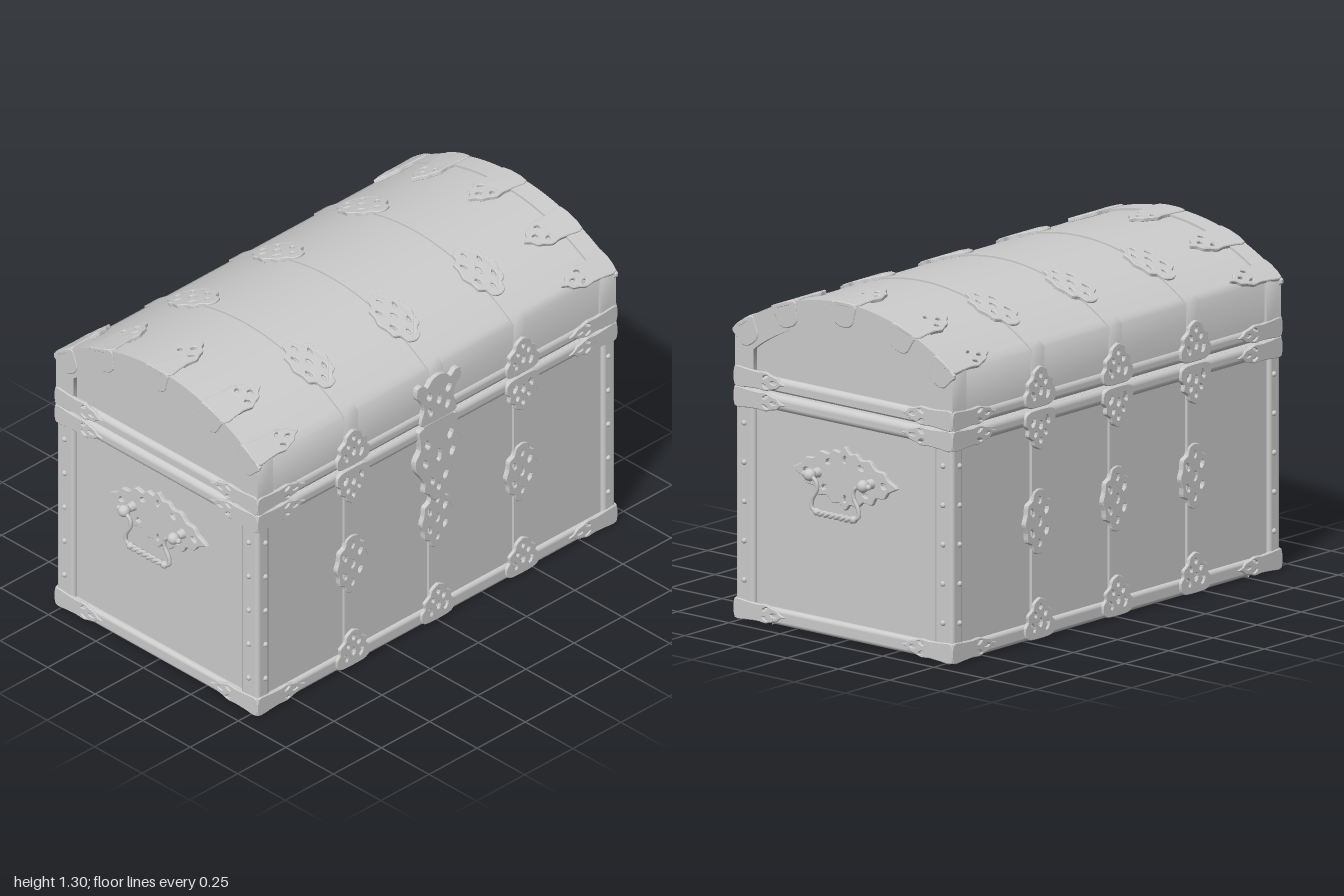
import * as THREE from 'three';
import { toCreasedNormals } from 'three/addons/utils/BufferGeometryUtils.js';
import { RoundedBoxGeometry } from 'three/addons/geometries/RoundedBoxGeometry.js';

const grey = new THREE.MeshStandardMaterial({ color: 0xcccccc });
grey.name = 'plain grey';

// Lid arc: radius, centre height
const R = 0.87, CY = 0.41;

function add(parent, name, geo, x = 0, y = 0, z = 0) {
  const m = new THREE.Mesh(geo, grey);
  m.name = name;
  m.position.set(x, y, z);
  parent.add(m);
  return m;
}

// Outline with a domed top: half width, base height, arc radius and arc centre
function domeOutline(hw, base, r, cy, Type = THREE.Shape) {
  const a = Math.asin(hw / r), pts = [new THREE.Vector2(-hw, base), new THREE.Vector2(hw, base)];
  for (let i = 0; i <= 28; i++) {
    const t = a - (2 * a * i) / 28;
    pts.push(new THREE.Vector2(Math.sin(t) * r, cy + Math.cos(t) * r));
  }
  return new Type(pts);
}

// Dome profile swept along x between x0 and x1
function domeSweep(shape, x0, x1) {
  const g = new THREE.ExtrudeGeometry(shape, { depth: x1 - x0, bevelEnabled: false });
  g.rotateY(Math.PI / 2).translate(x0, 0, 0);
  return toCreasedNormals(g, 1.0);
}

// Symmetric scrolled plate: [half width, height] points up the right side, [x, y, rx, ry] holes
function scroll(side, holes = []) {
  const left = side.filter(p => p[0] > 0).reverse().map(([x, y]) => [-x, y]);
  const curve = new THREE.CatmullRomCurve3(
    [...side, ...left].map(([x, y]) => new THREE.Vector3(x, y, 0)), true, 'catmullrom', 0.4);
  const shape = new THREE.Shape(curve.getPoints((side.length + left.length) * 3).slice(0, -1)
    .map(p => new THREE.Vector2(p.x, p.y)));
  for (const [x, y, rx, ry] of holes) {
    for (const s of x ? [-1, 1] : [1]) {
      const h = new THREE.Path();
      h.absellipse(s * x, y, rx, ry, 0, Math.PI * 2, true, -s * 0.4 * (x ? 1 : 0));
      shape.holes.push(h);
    }
  }
  return shape;
}

// Plate facing +z, turned by angle and moved; bend wraps it over the lid
function plate(parent, name, shape, depth, x, y, z, angle = 0, bend = false) {
  const b = 0.003;
  const g = new THREE.ExtrudeGeometry(shape, {
    depth: depth - b, bevelThickness: b, bevelSize: b, bevelOffset: -b, bevelSegments: 1, curveSegments: 4,
  });
  g.rotateZ(angle).translate(x, y, z);
  if (bend) {
    const p = g.attributes.position;
    for (let i = 0; i < p.count; i++) {
      const t = p.getY(i) / R, r = R + p.getZ(i);
      p.setXYZ(i, p.getX(i), CY + r * Math.cos(t), -r * Math.sin(t));
    }
    g.computeVertexNormals();
  }
  return add(parent, name, g);
}

// Ornament outlines
const leaf = scroll(
  [[0.05, 0], [0.082, 0.015], [0.085, 0.05], [0.068, 0.07], [0.07, 0.095], [0.042, 0.115], [0.034, 0.138], [0, 0.155]],
  [[0.04, 0.045, 0.009, 0.018], [0.028, 0.092, 0.007, 0.011], [0, 0.06, 0.01, 0.016], [0, 0.12, 0.007, 0.01]]);
const medallion = scroll(
  [[0, -0.125], [0.03, -0.115], [0.04, -0.085], [0.066, -0.07], [0.07, -0.035], [0.082, 0],
    [0.07, 0.035], [0.066, 0.07], [0.04, 0.085], [0.03, 0.115], [0, 0.125]],
  [[0.04, 0.04, 0.009, 0.016], [0.04, -0.04, 0.009, 0.016], [0, 0, 0.012, 0.018],
    [0, 0.082, 0.009, 0.013], [0, -0.082, 0.009, 0.013]]);
const spear = w => scroll(
  [[w, 0], [w, 0.06], [w * 0.92, 0.11], [w, 0.15], [w * 0.75, 0.18], [w * 0.6, 0.205], [w * 0.25, 0.22], [0, 0.245]],
  [[w * 0.5, 0.15, w * 0.14, 0.014], [0, 0.19, w * 0.16, 0.014]]);
const shield = scroll([[0.055, 0], [0.054, 0.04], [0.045, 0.075], [0.022, 0.09], [0, 0.092]]);
const lockShape = scroll(
  [[0.09, 0], [0.1, -0.04], [0.096, -0.09], [0.122, -0.13], [0.118, -0.175], [0.09, -0.215],
    [0.072, -0.25], [0.076, -0.285], [0.045, -0.31], [0.03, -0.335], [0, -0.345]].reverse(),
  [[0, -0.15, 0.012, 0.026], [0.06, -0.08, 0.012, 0.022], [0.07, -0.16, 0.011, 0.02],
    [0.035, -0.25, 0.01, 0.018], [0, -0.29, 0.009, 0.014]]);
const haspShape = scroll(
  [[0.08, 0], [0.092, 0.03], [0.078, 0.07], [0.09, 0.11], [0.115, 0.14], [0.112, 0.18], [0.085, 0.185],
    [0.06, 0.165], [0.035, 0.19], [0, 0.2]],
  [[0.045, 0.05, 0.01, 0.018], [0.05, 0.12, 0.012, 0.018], [0, 0.09, 0.012, 0.02]]);
const handlePlateShape = scroll(
  [[0, -0.125], [0.025, -0.1], [0.06, -0.105], [0.09, -0.08], [0.13, -0.085], [0.15, -0.055], [0.19, -0.05],
    [0.21, -0.025], [0.255, 0], [0.21, 0.025], [0.19, 0.05], [0.15, 0.055], [0.12, 0.085], [0.08, 0.08],
    [0.055, 0.1], [0.025, 0.095], [0, 0.12]],
  [[0.19, 0, 0.015, 0.01], [0.08, 0.05, 0.014, 0.009], [0.1, -0.05, 0.014, 0.009], [0, 0.07, 0.008, 0.014], [0, -0.08, 0.008, 0.014]]);

// Front or back wall fittings, built facing +z
function wallFittings(isFront) {
  const g = new THREE.Group();
  g.name = isFront ? 'frontFittings' : 'backFittings';
  for (const x of [-0.44, 0, 0.44]) {
    add(g, 'wallStrap', new THREE.BoxGeometry(0.07, 0.8, 0.014), x, 0.44, 0.519);
    plate(g, 'strapFoot', leaf, 0.012, x, 0.005, 0.527);
    plate(g, 'strapMedallion', medallion, 0.022, x, 0.45, 0.512);
    if (isFront && x === 0) {
      plate(g, 'lockPlate', lockShape, 0.022, 0, 0.882, 0.52);
      plate(g, 'lockHasp', haspShape, 0.02, 0, 0.89, 0.522);
      add(g, 'haspHinge', new THREE.CylinderGeometry(0.009, 0.009, 0.15, 10).rotateZ(Math.PI / 2), 0, 0.886, 0.534);
    } else {
      plate(g, 'rimLeaf', leaf, 0.016, x, 0.88, 0.524, Math.PI);
      plate(g, 'lidLeaf', leaf, 0.016, x, 0.89, 0.524);
    }
  }
  for (const s of [-1, 1]) {
    const turn = s * Math.PI / 2;
    plate(g, 'baseCorner', spear(0.036), 0.012, s * 0.93, 0.038, 0.524, turn);
    plate(g, 'rimCorner', spear(0.036), 0.012, s * 0.93, 0.848, 0.524, turn);
    plate(g, 'lidRimCorner', spear(0.034), 0.012, s * 0.93, 0.924, 0.524, turn);
    for (const y of [0.15, 0.3, 0.45, 0.6, 0.75])
      add(g, 'postStud', new THREE.SphereGeometry(0.011, 10, 6), s * 0.89, y, 0.53);
  }
  return g;
}

// Carrying handle, built facing +z
function handle() {
  const g = new THREE.Group();
  g.name = 'handle';
  plate(g, 'handlePlate', handlePlateShape, 0.018, 0, 0.62, 0.908);
  for (const s of [-1, 1]) {
    add(g, 'handlePost', new THREE.CylinderGeometry(0.012, 0.022, 0.06, 12).rotateX(Math.PI / 2), s * 0.13, 0.62, 0.945);
    add(g, 'handleKnob', new THREE.SphereGeometry(0.024, 14, 10), s * 0.13, 0.62, 0.972);
    add(g, 'knobTip', new THREE.SphereGeometry(0.011, 10, 8), s * 0.157, 0.62, 0.972);
    const arm = new THREE.CatmullRomCurve3([[0.11, 0.615], [0.092, 0.6], [0.09, 0.57], [0.112, 0.53], [0.114, 0.5], [0.095, 0.487]]
      .map(([x, y]) => new THREE.Vector3(s * x, y, 0.978)));
    add(g, 'handleArm', new THREE.TubeGeometry(arm, 20, 0.008, 8), 0, 0, 0);
    add(g, 'gripCollar', new THREE.SphereGeometry(0.015, 10, 8), s * 0.09, 0.487, 0.978);
    // Twisted strands of the grip
    const strand = [];
    for (let i = 0; i <= 40; i++) {
      const t = i / 40, a = t * Math.PI * 7 + (s > 0 ? Math.PI : 0);
      strand.push(new THREE.Vector3(-0.09 + 0.18 * t, 0.484 + 0.006 * Math.sin(a), 0.978 + 0.006 * Math.cos(a)));
    }
    add(g, 'gripStrand', new THREE.TubeGeometry(new THREE.CatmullRomCurve3(strand), 60, 0.008, 6));
  }
  return g;
}

// End wall fittings, built facing +z and then turned to the side
function endFittings(side) {
  const g = new THREE.Group();
  g.name = side > 0 ? 'leftEndFittings' : 'rightEndFittings';
  g.add(handle());
  for (const s of [-1, 1]) {
    const turn = s * Math.PI / 2;
    plate(g, 'baseCorner', spear(0.036), 0.012, s * 0.53, 0.038, 0.924, turn);
    plate(g, 'rimCorner', spear(0.036), 0.012, s * 0.53, 0.848, 0.924, turn);
    plate(g, 'lidRimCorner', spear(0.036), 0.012, s * 0.53, 0.926, 0.924, turn);
    for (const y of [0.15, 0.3, 0.45, 0.6, 0.75])
      add(g, 'postStud', new THREE.SphereGeometry(0.011, 10, 6), s * 0.485, y, 0.93);
  }
  // Clasps over the arched edge
  for (const t of [-0.6, -0.34, 0, 0.34, 0.6])
    plate(g, 'archClasp', shield, 0.012, Math.sin(t) * 0.879, CY + Math.cos(t) * 0.879, 0.922, Math.PI - t);
  g.rotation.y = side * Math.PI / 2;
  return g;
}

export function createModel() {
  const chest = new THREE.Group();
  chest.name = 'chest';

  // Body with base, rim and corner posts
  add(chest, 'body', new THREE.BoxGeometry(1.82, 0.87, 1.03), 0, 0.445, 0);
  add(chest, 'baseFrame', new RoundedBoxGeometry(1.86, 0.063, 1.06, 3, 0.016), 0, 0.0345, 0);
  add(chest, 'bodyRim', new RoundedBoxGeometry(1.86, 0.063, 1.06, 4, 0.024), 0, 0.85, 0);
  for (const x of [-1, 1]) for (const z of [-1, 1]) {
    add(chest, 'cornerPost', new RoundedBoxGeometry(0.065, 0.8, 0.09, 3, 0.016), x * 0.8975, 0.44, z * 0.485);
    // Quarter-round plate under each bottom corner
    const start = x > 0 ? (z > 0 ? Math.PI : 1.5 * Math.PI) : (z > 0 ? Math.PI / 2 : 0);
    add(chest, 'bottomCorner', new THREE.CylinderGeometry(0.17, 0.17, 0.006, 16, 1, false, start, Math.PI / 2), x * 0.925, 0.003, z * 0.525);
  }

  // Domed lid
  const lid = new THREE.Group();
  lid.name = 'lid';
  chest.add(lid);
  add(lid, 'lidShell', domeSweep(domeOutline(0.52, 0.892, R, CY), -0.91, 0.91));
  add(lid, 'lidRim', new RoundedBoxGeometry(1.86, 0.057, 1.06, 4, 0.022), 0, 0.917, 0);
  for (const x of [-0.44, 0, 0.44])
    add(lid, 'lidStrap', domeSweep(domeOutline(0.527, 0.9, R + 0.006, CY), x - 0.035, x + 0.035));
  for (const s of [-1, 1]) {
    const arch = domeOutline(0.53, 0.9, R + 0.009, CY);
    arch.holes.push(domeOutline(0.44, 0.925, 0.72, 0.47, THREE.Path));
    add(lid, 'endArch', domeSweep(arch, s > 0 ? 0.85 : -0.93, s > 0 ? 0.93 : -0.85));
    for (const v of [-0.52, -0.3, 0, 0.3, 0.52])
      plate(lid, 'lidSpear', spear(Math.abs(v) > 0.5 ? 0.045 : 0.06), 0.014, s * 0.93, v, 0.001, s * Math.PI / 2, true);
  }
  for (const x of [-0.44, 0, 0.44]) for (const v of [-0.31, 0.31])
    plate(lid, 'lidMedallion', medallion, 0.015, x, v, 0, 0, true);

  // Fittings on all four walls
  const back = wallFittings(false);
  back.rotation.y = Math.PI;
  chest.add(wallFittings(true), back, endFittings(1), endFittings(-1));
  return chest;
}
